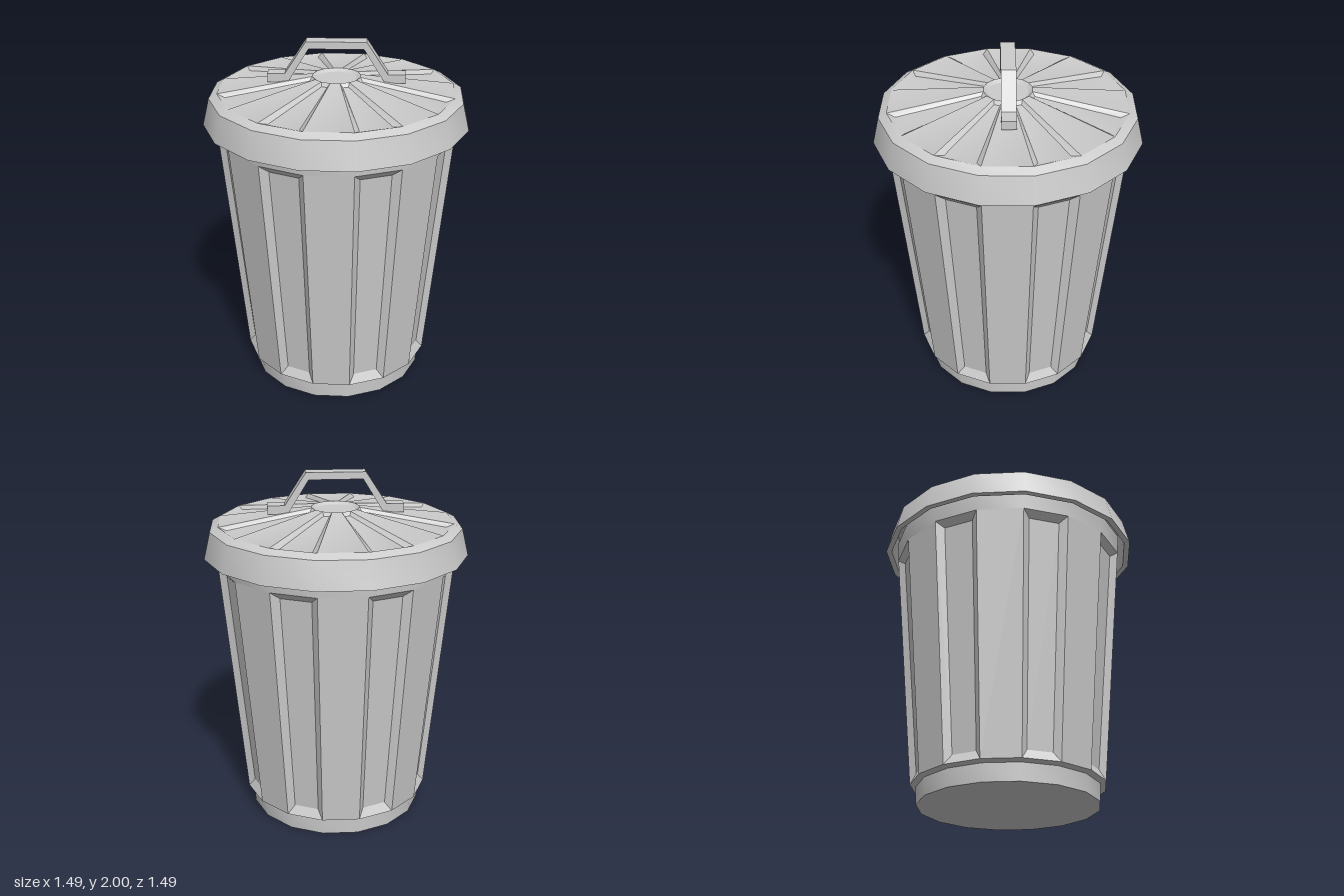
import * as THREE from 'three';
import { toCreasedNormals } from 'three/addons/utils/BufferGeometryUtils.js';

const SIDES = 16;
const CREASE = 0.5;
const material = new THREE.MeshStandardMaterial({ color: 0xcccccc });

function makeMesh(name, geometry) {
  const mesh = new THREE.Mesh(toCreasedNormals(geometry, CREASE), material);
  mesh.name = name;
  return mesh;
}

// Sixteen-sided turned part from [radius, height] pairs
function turned(name, profile) {
  const points = profile.map(([r, y]) => new THREE.Vector2(r, y));
  return makeMesh(name, new THREE.LatheGeometry(points, SIDES));
}

// Ring of flat facets between two levels; every other facet holds a bevelled recess.
// Each level is { r, y, side, end }: side and end are the bevel widths there.
function pressedRing(name, low, high, depth) {
  const positions = [];
  const quad = (a, b, c, d) => {
    for (const p of [a, b, c, a, c, d]) positions.push(p.x, p.y, p.z);
  };
  const corner = (level, i) => {
    const t = (i / SIDES) * Math.PI * 2;
    return new THREE.Vector3(level.r * Math.sin(t), level.y, level.r * Math.cos(t));
  };
  for (let i = 0; i < SIDES; i++) {
    const outer = [corner(low, i), corner(low, i + 1), corner(high, i + 1), corner(high, i)];
    if (i % 2) {
      quad(...outer);
      continue;
    }
    const [a, b, c, d] = outer;
    const across = b.clone().sub(a).normalize();
    const up = c.clone().add(d).sub(a).sub(b).normalize();
    const inward = across.clone().cross(up).multiplyScalar(-depth);
    const length = c.clone().add(d).sub(a).sub(b).length() / 2;
    // Slide along the slanted side edge, then in from it, then down into the sheet
    const inset = (from, to, level, sign) => from.clone()
      .lerp(to, level.end / length)
      .addScaledVector(across, sign * level.side)
      .add(inward);
    const inner = [inset(a, d, low, 1), inset(b, c, low, -1), inset(c, b, high, -1), inset(d, a, high, 1)];
    quad(...inner);
    for (let k = 0; k < 4; k++) {
      const n = (k + 1) % 4;
      quad(outer[k], outer[n], inner[n], inner[k]);
    }
  }
  const geometry = new THREE.BufferGeometry();
  geometry.setAttribute('position', new THREE.Float32BufferAttribute(positions, 3));
  return makeMesh(name, geometry);
}

// Bent strap handle: a mirrored outline given a constant width
function strapHandle() {
  const top = [[0.165, 2.0], [0.282, 1.82], [0.378, 1.82]];
  const under = [[0.378, 1.772], [0.265, 1.772], [0.15, 1.96]];
  const half = [...top, ...under];
  const mirrored = half.map(([x, y]) => [-x, y]).reverse();
  const shape = new THREE.Shape([...half, ...mirrored].map(([x, y]) => new THREE.Vector2(x, y)));
  const geometry = new THREE.ExtrudeGeometry(shape, { depth: 0.08, bevelEnabled: false });
  geometry.translate(0, 0, -0.04);
  const handle = makeMesh('lidHandle', geometry);
  handle.rotation.y = -0.175;
  return handle;
}

export function createModel() {
  const model = new THREE.Group();
  model.name = 'trashCan';

  // Can: foot, pressed wall and closed upper band
  const can = new THREE.Group();
  can.name = 'can';
  can.add(
    turned('foot', [[0, 0], [0.503, 0], [0.507, 0.098], [0.54, 0.11]]),
    pressedRing('wall',
      { r: 0.54, y: 0.11, side: 0.036, end: 0.05 },
      { r: 0.667, y: 1.49, side: 0.042, end: 0.04 }, 0.03),
    turned('upperBand', [[0.667, 1.49], [0.676, 1.6], [0, 1.6]]),
  );

  // Lid: flared skirt, pressed cone and sunken centre
  const lid = new THREE.Group();
  lid.name = 'lid';
  lid.add(
    turned('skirt', [[0, 1.67], [0.68, 1.67], [0.71, 1.55], [0.743, 1.55], [0.706, 1.7], [0.66, 1.725]]),
    pressedRing('lidTop',
      { r: 0.66, y: 1.725, side: 0.032, end: 0.035 },
      { r: 0.135, y: 1.8, side: 0.014, end: 0.02 }, 0.018),
    turned('centreDish', [[0.135, 1.8], [0.112, 1.785], [0, 1.785]]),
    strapHandle(),
  );

  model.add(can, lid);
  return model;
}
